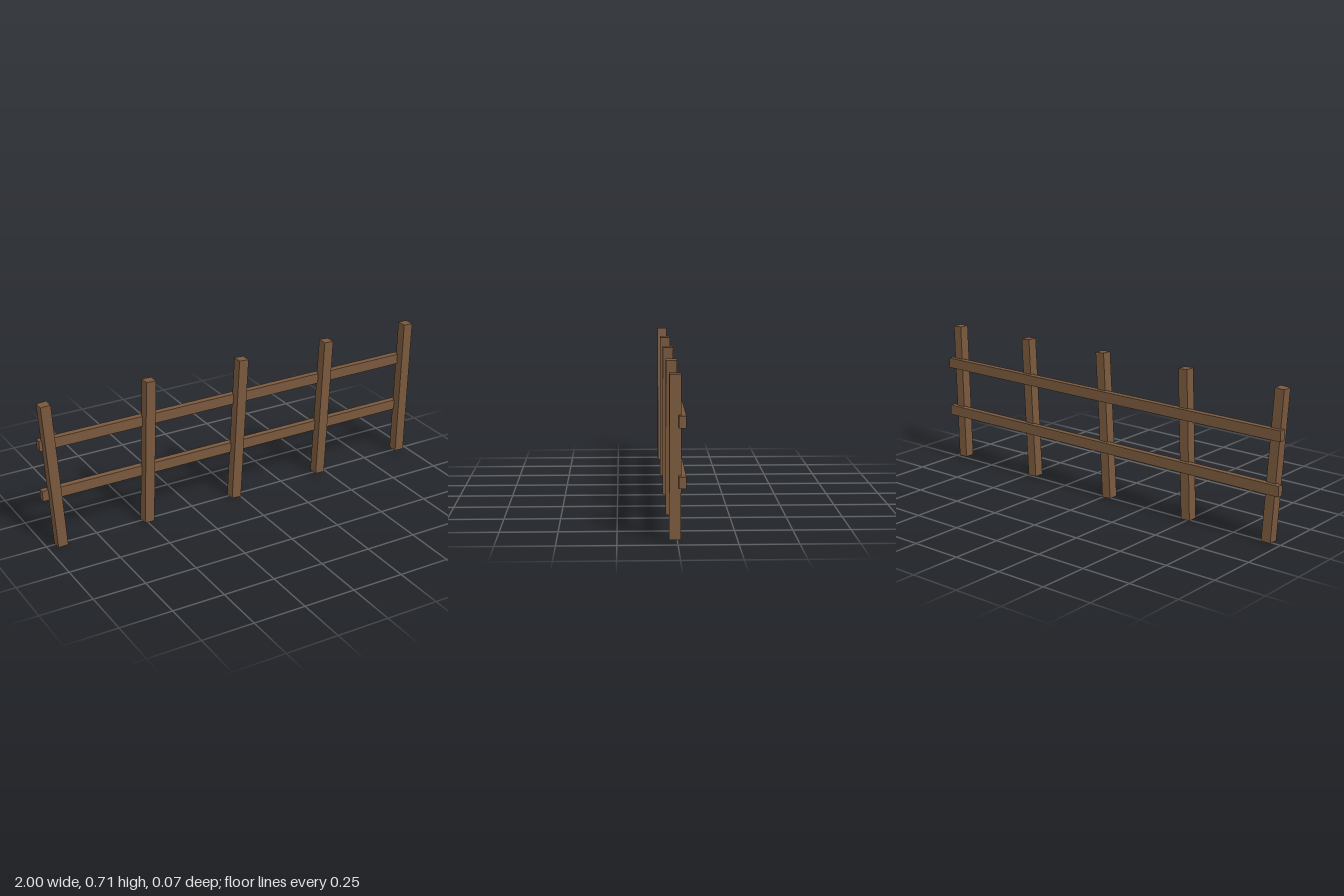
import * as THREE from 'three';

export function createModel() {
  const group = new THREE.Group();
  const wood = new THREE.MeshStandardMaterial({ color: 0x79583c });
  wood.name = 'brown wood';

  const addBeam = (name, width, height, depth, x, y, z, lean = 0) => {
    const beam = new THREE.Mesh(new THREE.BoxGeometry(width, height, depth), wood);
    beam.name = name;
    beam.position.set(x, y, z);
    beam.rotation.z = lean;
    group.add(beam);
  };

  // Leaning posts: bottom x, top x, length
  const posts = [
    [-0.931, -0.974, 0.711],
    [-0.492, -0.463, 0.712],
    [-0.023, 0.018, 0.711],
    [0.456, 0.488, 0.696],
    [0.941, 0.955, 0.688],
  ];
  posts.forEach(([bottom, top, length], i) => {
    const lean = -Math.asin((top - bottom) / length);
    addBeam(`post${i + 1}`, 0.048, length, 0.049, (bottom + top) / 2, 0.357, 0.0105, lean);
  });

  // Horizontal rails let into the back of the posts
  addBeam('lowerRail', 2, 0.05, 0.031, 0, 0.258, -0.0185);
  addBeam('upperRail', 2, 0.05, 0.031, 0, 0.508, -0.0185);

  return group;
}
